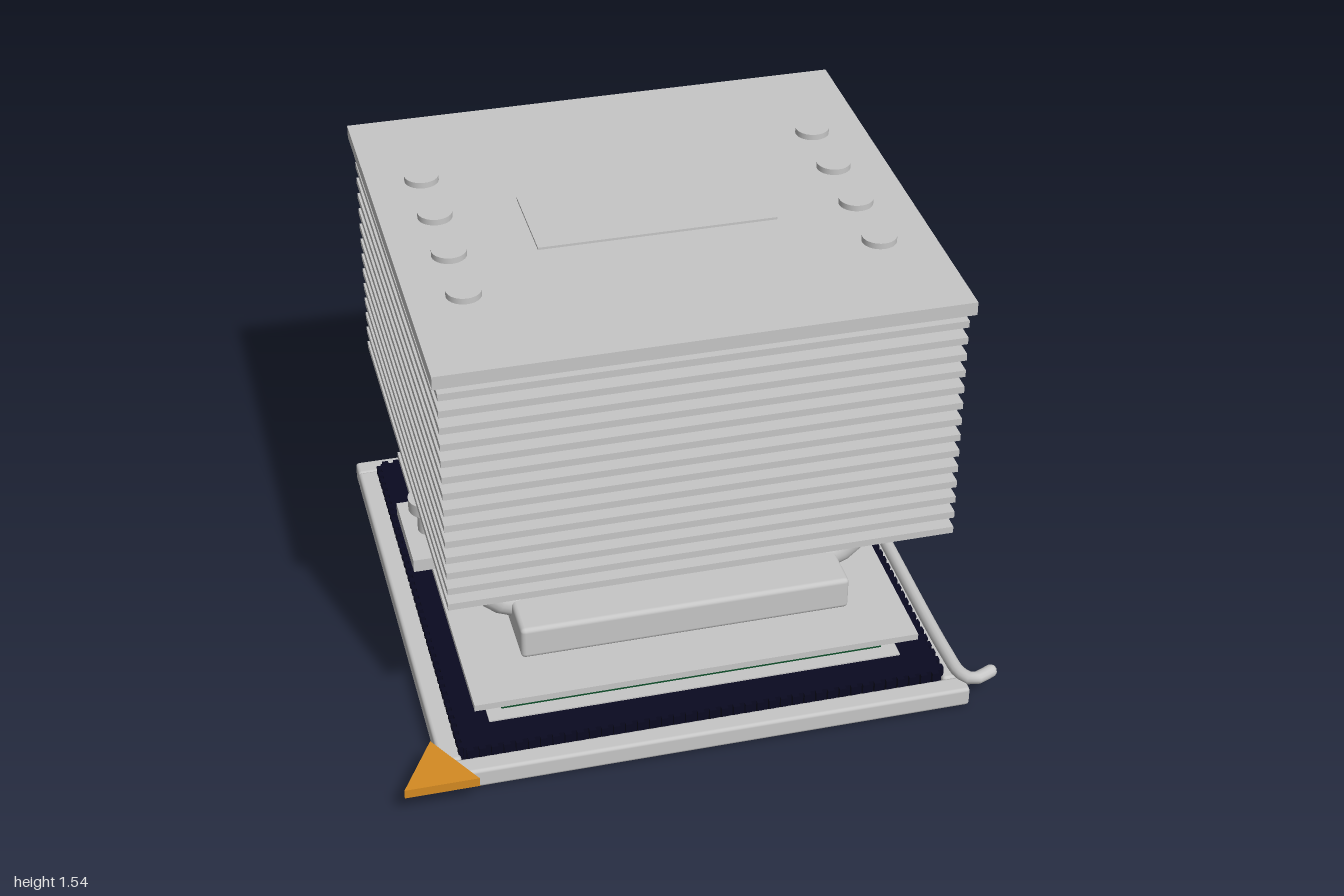
import * as THREE from 'three';
import { mergeGeometries } from 'three/addons/utils/BufferGeometryUtils.js';
import { RoundedBoxGeometry } from 'three/addons/geometries/RoundedBoxGeometry.js';

export function createModel() {
  const root = new THREE.Group();
  root.name = 'processorCooler';
  const body = new THREE.Group(); // everything symmetric sits on the socket centre
  body.name = 'coolerStack';
  body.position.set(0.018, 0, -0.04);
  root.add(body);

  const material = (name, color) => {
    const m = new THREE.MeshStandardMaterial({ color });
    m.name = name;
    return m;
  };
  const metal = material('metalGrey', 0xc6c6c6);
  const dark = material('darkNavy', 0x0a0a20);
  const green = material('boardGreen', 0x10502c);
  const gold = material('markerOrange', 0xd48a22);

  const add = (name, geo, mat, x = 0, y = 0, z = 0, parent = body) => {
    const m = new THREE.Mesh(geo, mat);
    m.name = name;
    m.position.set(x, y, z);
    parent.add(m);
    return m;
  };
  // slab given by half width, half depth, bottom and top
  const slab = (name, hx, hz, y0, y1, mat = metal, x = 0, z = 0, round = 0) => {
    const geo = round
      ? new RoundedBoxGeometry(2 * hx, y1 - y0, 2 * hz, 2, round)
      : new THREE.BoxGeometry(2 * hx, y1 - y0, 2 * hz);
    return add(name, geo, mat, x, (y0 + y1) / 2, z);
  };

  // Socket bed with a toothed rim
  slab('socketBed', 0.8, 0.8, 0, 0.11, dark);
  const teeth = [];
  for (let i = 0; i < 40; i++) {
    const t = -0.78 + i * 0.04;
    for (const s of [-1, 1]) {
      teeth.push(new THREE.BoxGeometry(0.022, 0.11, 0.02).translate(t, 0.055, s * 0.805));
      teeth.push(new THREE.BoxGeometry(0.02, 0.11, 0.022).translate(s * 0.805, 0.055, t));
    }
  }
  add('socketTeeth', mergeGeometries(teeth), dark);

  // Socket frame
  for (const s of [-1, 1]) {
    slab('frameSideRail', 0.036, 0.81, 0.008, 0.08, metal, s * 0.844, 0, 0.012);
    slab('frameEndRail', 0.88, 0.036, 0.008, 0.078, metal, 0, s * 0.844, 0.012);
  }
  slab('leverHinge', 0.043, 0.045, 0.07, 0.125, metal, 0.837, -0.815);

  // Retention lever with a bent handle
  const leverPath = new THREE.CatmullRomCurve3([
    [0.87, 0.092, -0.81], [0.87, 0.092, 0], [0.875, 0.092, 0.66], [0.885, 0.092, 0.77],
    [0.915, 0.092, 0.808], [0.95, 0.092, 0.8], [0.985, 0.092, 0.785],
  ].map((p) => new THREE.Vector3(...p)));
  const lever = new THREE.Group();
  lever.name = 'lever';
  root.add(lever);
  add('leverRod', new THREE.TubeGeometry(leverPath, 60, 0.022, 12), metal, 0, 0, 0, lever);
  add('leverTip', new THREE.SphereGeometry(0.022, 12, 8), metal, 0.985, 0.092, 0.785, lever);

  // Processor: carrier, board, edge components, lid
  slab('carrierPlate', 0.695, 0.695, 0.105, 0.115);
  slab('processorBoard', 0.645, 0.645, 0.115, 0.147, green);
  slab('processorLid', 0.56, 0.565, 0.147, 0.187);
  const parts = [];
  for (let i = 0; i < 9; i++) {
    const t = -0.61 + i * 0.1525;
    for (const s of [-1, 1]) {
      parts.push(new THREE.BoxGeometry(0.05, 0.014, 0.025).translate(t, 0.154, s * 0.605));
      if (i % 8) parts.push(new THREE.BoxGeometry(0.025, 0.014, 0.05).translate(s * 0.605, 0.154, t));
    }
  }
  add('boardComponents', mergeGeometries(parts), dark);

  // Flat triangular markers (x, z corners)
  const triangle = (name, pts, y, h, parent) => {
    const shape = new THREE.Shape(pts.map(([x, z]) => new THREE.Vector2(x, -z)));
    const geo = new THREE.ExtrudeGeometry(shape, { depth: h, bevelEnabled: false });
    add(name, geo.rotateX(-Math.PI / 2), gold, 0, y, 0, parent);
  };
  triangle('cornerArrow', [[-0.88, 0.71], [-1, 0.92], [-0.76, 0.92]], 0.088, 0.032, root);
  triangle('boardMarker', [[-0.64, 0.62], [-0.5, 0.62], [-0.64, 0.48]], 0.147, 0.02, body);

  // Mounting plate, contact base and clamp bar
  slab('mountingPlate', 0.745, 0.72, 0.187, 0.21);
  slab('contactPlate', 0.49, 0.5, 0.21, 0.235);
  slab('coolerBase', 0.555, 0.555, 0.23, 0.348, metal, 0, 0, 0.016);
  slab('clampBar', 0.835, 0.165, 0.348, 0.395);

  // Clamp screws with cross recess
  for (const s of [-1, 1]) {
    const screw = new THREE.Group();
    screw.name = 'clampScrew';
    screw.position.x = s * 0.75;
    body.add(screw);
    add('screwShaft', new THREE.CylinderGeometry(0.04, 0.04, 0.1, 24), metal, 0, 0.44, 0, screw);
    add('screwHead', new THREE.CylinderGeometry(0.068, 0.068, 0.044, 24), metal, 0, 0.505, 0, screw);
    for (const [w, d] of [[0.09, 0.022], [0.022, 0.09]]) {
      add('screwCross', new THREE.BoxGeometry(w, 0.006, d), dark, 0, 0.53, 0, screw);
    }
  }

  // U-shaped heat pipes through the base, with caps above the top plate
  const half = [[0.66, 1.53], [0.66, 1.1], [0.667, 0.65], [0.652, 0.44], [0.58, 0.335], [0.22, 0.297]];
  const all = [...half.map(([x, y]) => [-x, y]), ...half.slice().reverse()];
  const pipePath = new THREE.CatmullRomCurve3(all.map(([x, y]) => new THREE.Vector3(x, y, 0)));
  const pipeGeo = new THREE.TubeGeometry(pipePath, 80, 0.048, 18);
  const capGeo = new THREE.CylinderGeometry(0.056, 0.056, 0.03, 28);
  for (const z of [-0.36, -0.12, 0.12, 0.36]) {
    add('heatPipe', pipeGeo, metal, 0, 0, z);
    for (const s of [-1, 1]) add('pipeCap', capGeo, metal, s * 0.66, 1.53, z);
  }

  // Fin stack
  for (let i = 0; i < 14; i++) {
    const y = 0.66 + i * 0.06;
    slab('coolingFin', 0.82, 0.765, y - 0.012, y + 0.012);
  }
  slab('topPlate', 0.837, 0.78, 1.48, 1.525);
  slab('topBadgePlate', 0.387, 0.16, 1.525, 1.533);

  return root;
}
